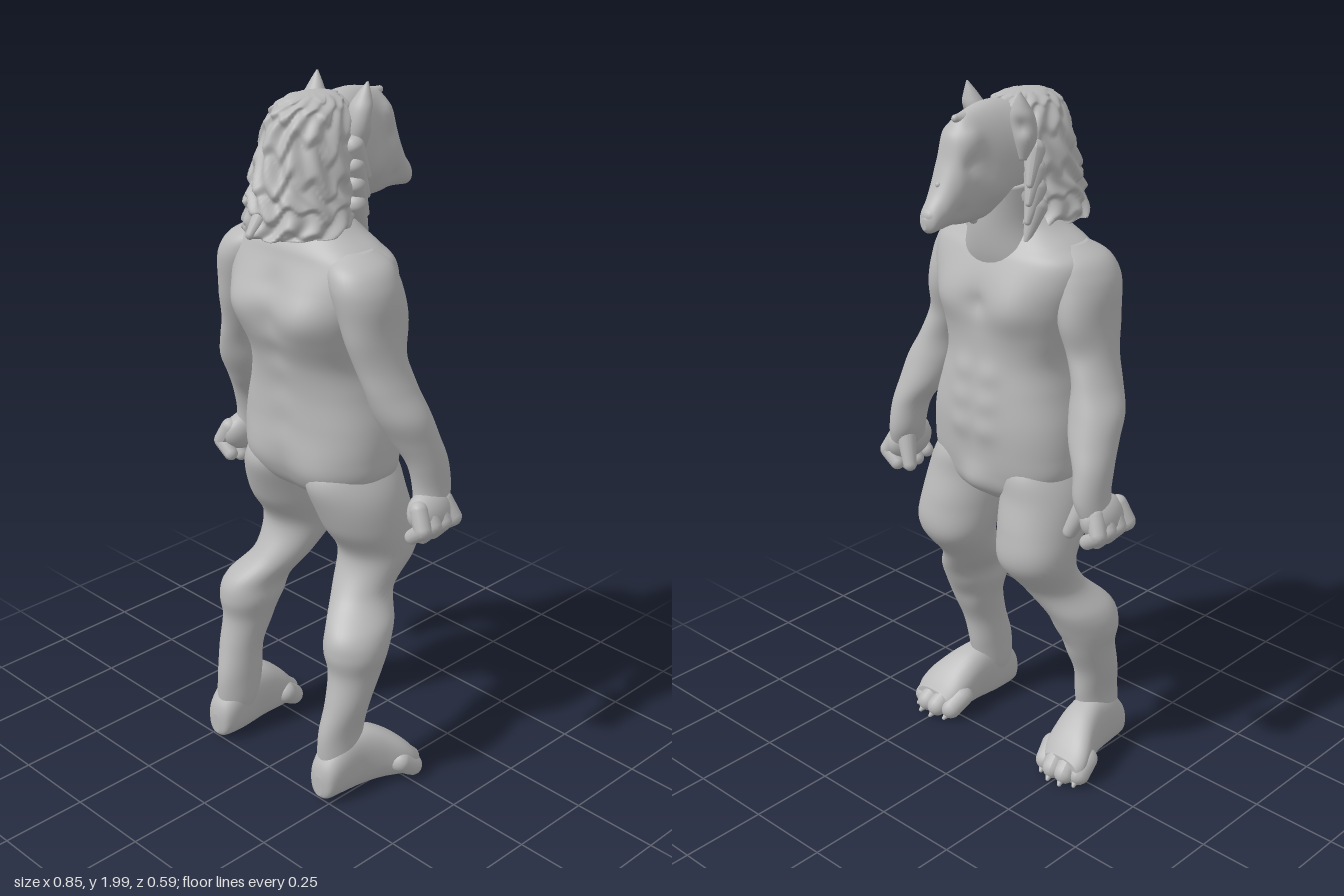
import * as THREE from 'three';

const fur = new THREE.MeshStandardMaterial({ color: 0xb9b9b9 });
fur.name = 'grey fur';

// Smooth blend through rows of numbers
function sampleRows(rows, t) {
  const f = t * (rows.length - 1), i = Math.min(Math.floor(f), rows.length - 2), u = f - i;
  const at = k => rows[Math.max(0, Math.min(rows.length - 1, k))];
  const [a, b, c, d] = [at(i - 1), at(i), at(i + 1), at(i + 2)];
  return b.map((_, k) => 0.5 * (2 * b[k] + (c[k] - a[k]) * u
    + (2 * a[k] - 5 * b[k] + 4 * c[k] - d[k]) * u * u
    + (3 * b[k] - a[k] - 3 * c[k] + d[k]) * u * u * u));
}

// Turns an ellipse into a slightly boxy outline
const boxy = a => (Math.abs(Math.cos(a)) ** 2.5 + Math.abs(Math.sin(a)) ** 2.5) ** (-1 / 2.5);

// Skin over ellipses. Axis 'y': rows [y, x, z, rx, rz] rising.
// Axis 'z': rows [z, x, y, rx, ry] running towards the face.
// Muscles [x, y, z, spread, height] swell or dent the skin, alike on both sides.
function loft(rows, { axis = 'y', sides = 36, steps = 7, muscles = [], bump = () => 1 } = {}) {
  const n = (rows.length - 1) * steps, pos = [], idx = [];
  const place = (w, x, v) => (axis === 'y' ? [x, w, v] : [x, v, w]);
  for (let j = 0; j <= n; j++) {
    const [w, cx, cv, r1, r2] = sampleRows(rows, j / n);
    for (let i = 0; i < sides; i++) {
      const a = i / sides * Math.PI * 2, m = bump(a, j / n);
      const dx = Math.max(r1, 0.001) * m * Math.cos(a), dv = Math.max(r2, 0.001) * m * Math.sin(a);
      const p = place(w, cx + dx, cv + dv);
      const swell = muscles.reduce((s, [x, y, z, r, h]) =>
        s + h * Math.exp(-((Math.abs(p[0]) - x) ** 2 + (p[1] - y) ** 2 + (p[2] - z) ** 2) / (r * r)), 0);
      const k = 1 + swell / Math.hypot(dx, dv);
      pos.push(...place(w, cx + dx * k, cv + dv * k));
      if (j < n) {
        const q = j * sides + i, e = j * sides + (i + 1) % sides;
        idx.push(q, q + sides, e, e, q + sides, e + sides);
      }
    }
  }
  const end = pos.length / 3, last = n * sides;
  pos.push(...place(...rows[0].slice(0, 3)), ...place(...rows[rows.length - 1].slice(0, 3)));
  for (let i = 0; i < sides; i++) {
    const k = (i + 1) % sides;
    idx.push(end, i, k, end + 1, last + k, last + i);
  }
  const g = new THREE.BufferGeometry();
  g.setAttribute('position', new THREE.Float32BufferAttribute(pos, 3));
  g.setIndex(idx);
  g.computeVertexNormals();
  return g;
}

// Ellipsoid: centre, radii, tilt about z
function blob(c, r, tilt = 0) {
  return new THREE.SphereGeometry(1, 22, 16).scale(...r).rotateZ(tilt).translate(...c);
}

// Round-ended rod between two points, thinning to the given tip radius
function between(a, b, r, tip = r) {
  const p = new THREE.Vector3(...a), e = new THREE.Vector3(...b), d = e.clone().sub(p), len = d.length();
  const profile = [new THREE.Vector2(0.0001, -r)];
  for (let i = 1; i <= 5; i++) profile.push(new THREE.Vector2(r * Math.sin(i * Math.PI / 10), -r * Math.cos(i * Math.PI / 10)));
  for (let i = 0; i < 5; i++) profile.push(new THREE.Vector2(tip * Math.cos(i * Math.PI / 10), len + tip * Math.sin(i * Math.PI / 10)));
  profile.push(new THREE.Vector2(0.0001, len + tip));
  const q = new THREE.Quaternion().setFromUnitVectors(new THREE.Vector3(0, 1, 0), d.normalize());
  return new THREE.LatheGeometry(profile, 14).applyMatrix4(
    new THREE.Matrix4().compose(p, q, new THREE.Vector3(1, 1, 1)));
}

function mirrored(g) {
  const m = g.clone().scale(-1, 1, 1), ix = m.index.array;
  for (let i = 0; i < ix.length; i += 3) [ix[i], ix[i + 1]] = [ix[i + 1], ix[i]];
  m.computeVertexNormals();
  return m;
}

export function createModel() {
  const model = new THREE.Group();
  model.name = 'beastFigure';
  const add = (name, g) => {
    const m = new THREE.Mesh(g, fur);
    m.name = name;
    model.add(m);
  };
  const pair = (name, g) => {
    add(name + 'Left', g);
    add(name + 'Right', mirrored(g));
  };

  // Torso and neck: chest, belly, shoulder blades, spine and buttocks
  const buttock = [0.1, 0.95, 0.16, 0.085, 0.026];
  const belly = [1.08, 1.16, 1.24].map(y => [0.042, y, -0.12, 0.036, 0.01]);
  const spine = [1.1, 1.2, 1.3, 1.4, 1.5].map(y => [0, y, 0.22, 0.045, -0.01]);
  add('torso', loft([
    [0.845, 0, 0, 0.06, 0.05], [0.89, 0, 0.015, 0.17, 0.115], [0.95, 0, 0.025, 0.228, 0.14],
    [1.02, 0, 0.03, 0.236, 0.153], [1.1, 0, 0.03, 0.228, 0.156], [1.19, 0, 0.034, 0.203, 0.153],
    [1.27, 0, 0.045, 0.187, 0.155], [1.35, 0, 0.058, 0.205, 0.166], [1.43, 0, 0.062, 0.232, 0.17],
    [1.5, 0, 0.058, 0.25, 0.157], [1.56, 0, 0.057, 0.248, 0.133], [1.595, 0, 0.062, 0.205, 0.115],
    [1.635, 0, 0.06, 0.14, 0.09], [1.69, 0, 0.05, 0.08, 0.07]], {
    sides: 72, steps: 9, bump: boxy, muscles: [buttock, ...belly, ...spine,
      [0.1, 1.43, -0.1, 0.07, 0.022], [0.1, 1.42, 0.21, 0.07, 0.024],
      [0, 1.43, -0.11, 0.03, -0.012], [0, 0.92, -0.11, 0.05, 0.02]] }));
  add('neck', loft([[1.5, 0, 0.03, 0.15, 0.1], [1.57, 0, 0.005, 0.115, 0.098],
    [1.65, 0, -0.003, 0.087, 0.1], [1.75, 0, 0, 0.08, 0.1]]));

  // Arms
  pair('arm', loft([
    [0.88, 0.368, -0.015, 0.036, 0.06], [0.95, 0.352, -0.035, 0.044, 0.06], [1.03, 0.344, -0.023, 0.05, 0.063],
    [1.1, 0.32, 0.004, 0.067, 0.071], [1.17, 0.304, 0.034, 0.073, 0.079], [1.24, 0.284, 0.055, 0.06, 0.08],
    [1.31, 0.259, 0.066, 0.06, 0.083], [1.4, 0.236, 0.074, 0.067, 0.093], [1.48, 0.222, 0.084, 0.081, 0.101],
    [1.53, 0.207, 0.085, 0.084, 0.101], [1.57, 0.187, 0.08, 0.075, 0.088], [1.6, 0.165, 0.073, 0.04, 0.05]], {
    muscles: [[0.25, 1.41, -0.01, 0.055, 0.012], [0.26, 1.39, 0.15, 0.06, 0.008],
      [0.24, 1.47, -0.02, 0.05, 0.008], [0.27, 1.32, 0.0, 0.04, -0.006]] }));

  // Hands with curled fingers
  pair('palm', blob([0.37, 0.895, -0.012], [0.046, 0.062, 0.078], 0.25));
  for (let i = 0; i < 4; i++) {
    const z = 0.052 - i * 0.04, y = 0.828 - (i % 3 ? 0.005 : -0.008);
    pair('knuckle' + (i + 1), between([0.378, 0.915, z * 0.8], [0.403, 0.868, z], 0.026, 0.024));
    pair('fingertip' + (i + 1), between([0.402, 0.865, z], [0.366, y, z], 0.024, 0.021));
  }
  pair('thumb', between([0.338, 0.925, -0.055], [0.308, 0.85, -0.072], 0.028, 0.02));

  // Legs with backward hocks
  pair('leg', loft([
    [0.07, 0.22, 0.18, 0.045, 0.055], [0.13, 0.215, 0.175, 0.052, 0.07], [0.21, 0.215, 0.167, 0.05, 0.077],
    [0.3, 0.224, 0.15, 0.058, 0.072], [0.39, 0.222, 0.12, 0.07, 0.083], [0.46, 0.217, 0.11, 0.084, 0.102],
    [0.52, 0.208, 0.088, 0.083, 0.108], [0.6, 0.162, 0.03, 0.082, 0.093], [0.7, 0.153, -0.028, 0.108, 0.108],
    [0.8, 0.146, 0, 0.119, 0.136], [0.89, 0.138, 0.022, 0.117, 0.138], [0.96, 0.125, 0.025, 0.1, 0.13],
    [1.03, 0.115, 0.025, 0.06, 0.09]], {
    muscles: [buttock, [0.21, 0.75, -0.1, 0.06, 0.008], [0.11, 0.7, -0.1, 0.05, 0.006],
      [0.27, 0.46, 0.13, 0.05, 0.008], [0.2, 0.41, 0.04, 0.04, -0.008]] }));

  // Feet
  pair('foot', loft([
    [0.264, 0.22, 0.06, 0.014, 0.03], [0.25, 0.22, 0.075, 0.042, 0.057], [0.2, 0.22, 0.1, 0.054, 0.086],
    [0.13, 0.225, 0.105, 0.057, 0.094], [0.07, 0.235, 0.098, 0.066, 0.087], [0.015, 0.25, 0.08, 0.077, 0.07],
    [-0.02, 0.258, 0.063, 0.077, 0.054], [-0.045, 0.262, 0.05, 0.064, 0.036]], {
    axis: 'z', bump: boxy, muscles: [[0.16, 0.05, 0.1, 0.05, -0.008]] }));
  [[0.196, -0.03], [0.238, -0.048], [0.281, -0.046], [0.315, -0.022]].forEach(([x, z], i) => {
    pair('toe' + (i + 1), between([x - 0.008, 0.072, z + 0.04], [x, 0.042, z], 0.034, 0.031));
    pair('claw' + (i + 1), between([x, 0.03, z - 0.012], [x + 0.004, 0.018, z - 0.028], 0.014, 0.006));
  });

  // Head and snout with brows, cheeks and eye hollows
  add('head', loft([
    [0.08, 0, 1.83, 0.05, 0.07], [0.05, 0, 1.83, 0.08, 0.11], [0, 0, 1.83, 0.09, 0.13],
    [-0.06, 0, 1.82, 0.08, 0.148], [-0.12, 0, 1.812, 0.068, 0.148], [-0.17, 0, 1.803, 0.06, 0.138],
    [-0.2, 0, 1.783, 0.054, 0.113], [-0.225, 0, 1.75, 0.046, 0.08], [-0.255, 0, 1.717, 0.037, 0.05],
    [-0.282, 0, 1.698, 0.028, 0.033], [-0.296, 0, 1.69, 0.008, 0.014]], {
    axis: 'z', sides: 48, steps: 9, muscles: [
      [0.045, 1.885, -0.165, 0.03, 0.013], [0.05, 1.835, -0.175, 0.026, -0.012],
      [0.065, 1.76, -0.11, 0.04, 0.012], [0.05, 1.705, -0.2, 0.02, -0.008], [0, 1.88, -0.2, 0.03, 0.012]] }));
  add('nose', blob([0, 1.708, -0.27], [0.028, 0.025, 0.024]));
  add('noseRidge', between([0, 1.755, -0.21], [0, 1.783, -0.243], 0.026, 0.008));
  add('browCrest', between([0, 1.925, -0.12], [0, 1.94, -0.18], 0.032, 0.01));
  add('chinTuft', between([0, 1.7, -0.14], [0, 1.665, -0.118], 0.03, 0.012));
  pair('ear', loft([
    [1.82, 0.085, -0.015, 0.015, 0.02], [1.88, 0.088, -0.018, 0.031, 0.032], [1.93, 0.086, -0.025, 0.035, 0.03],
    [1.965, 0.088, -0.033, 0.021, 0.018], [1.998, 0.092, -0.042, 0.002, 0.003]], {
    sides: 24, muscles: [[0.105, 1.91, -0.05, 0.022, -0.014]] }));

  // Shaggy mane: overlapping wavy clumps, pointed at the back
  add('mane', loft([
    [1.633, 0, 0.118, 0.14, 0.158], [1.69, 0, 0.112, 0.134, 0.155], [1.75, 0, 0.105, 0.126, 0.15],
    [1.85, 0, 0.09, 0.112, 0.134], [1.93, 0, 0.08, 0.088, 0.117], [1.965, 0, 0.07, 0.055, 0.08],
    [1.975, 0, 0.065, 0.01, 0.02]], {
    sides: 108, steps: 16,
    bump: (a, t) => {
      const layer = t * 6 + 0.3 * Math.sin(5 * a + 1) + 0.2 * Math.sin(12 * a), k = Math.floor(layer), f = layer - k;
      const back = Math.max(0, Math.sin(a)), tuft = (1 - f) * THREE.MathUtils.smoothstep(f, 0, 0.35);
      return 0.955 + 0.13 * tuft + 0.04 * Math.sin(12 * a + 5 * Math.sin(t * 9)) - 0.07 * back * Math.abs(Math.sin(2 * a));
    } }));
  add('maneTip', between([0, 1.715, 0.215], [0, 1.645, 0.284], 0.034, 0.012));
  for (let i = 0; i < 4; i++)
    pair('sideLock' + (i + 1), between([0.094 + i * 0.003, 1.84 - i * 0.05, 0.01],
      [0.112 - i * 0.003, 1.76 - i * 0.05, -0.025], 0.03, 0.01));

  return model;
}
